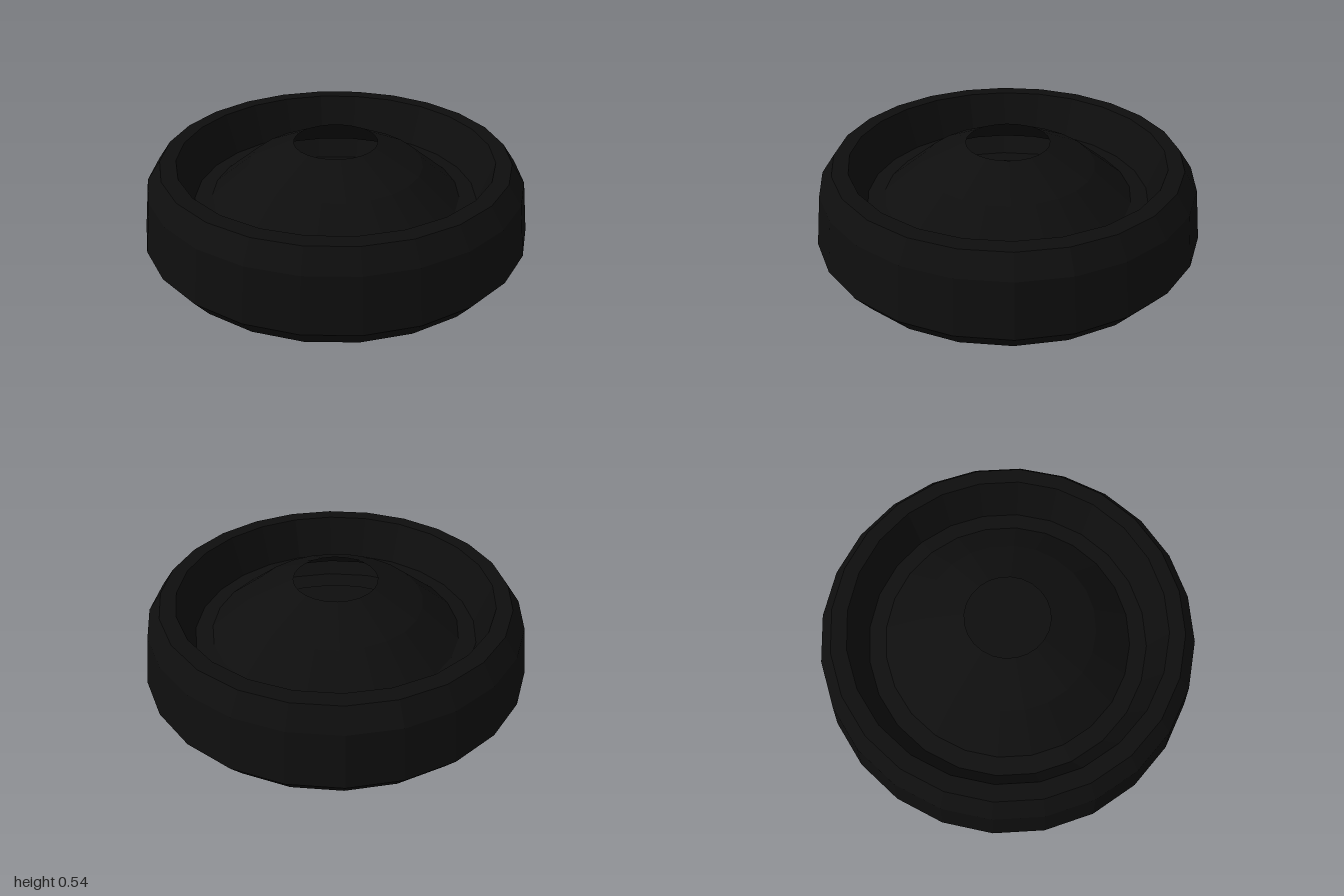
import * as THREE from 'three';

const SIDES = 24;

export function createModel() {
  const black = new THREE.MeshStandardMaterial({ color: 0x0e0e0e, flatShading: true, side: THREE.DoubleSide });
  black.name = 'matte black';

  const group = new THREE.Group();
  group.name = 'roundHousing';

  // Turns an [radius, height] profile into a named ring, running up the outside and in over the top
  const turned = (name, profile) => {
    const points = profile.map(([r, y]) => new THREE.Vector2(r, y));
    const mesh = new THREE.Mesh(new THREE.LatheGeometry(points, SIDES), black);
    mesh.name = name;
    group.add(mesh);
  };

  // Recessed underside with a sloping edge
  turned('underside', [[0, 0.09], [0.645, 0.09], [0.73, 0], [0.925, 0]]);

  // Bevelled outer wall
  turned('outerWall', [[0.925, 0], [1, 0.1], [0.96, 0.37], [0.89, 0.47]]);

  // Flat rim, inner wall and the groove around the dome
  turned('rimAndGroove', [[0.89, 0.47], [0.81, 0.47], [0.735, 0.25], [0.645, 0.26]]);

  // Hollow dome, open at the top
  turned('dome', [[0.645, 0.26], [0.45, 0.42], [0.215, 0.535]]);

  return group;
}
